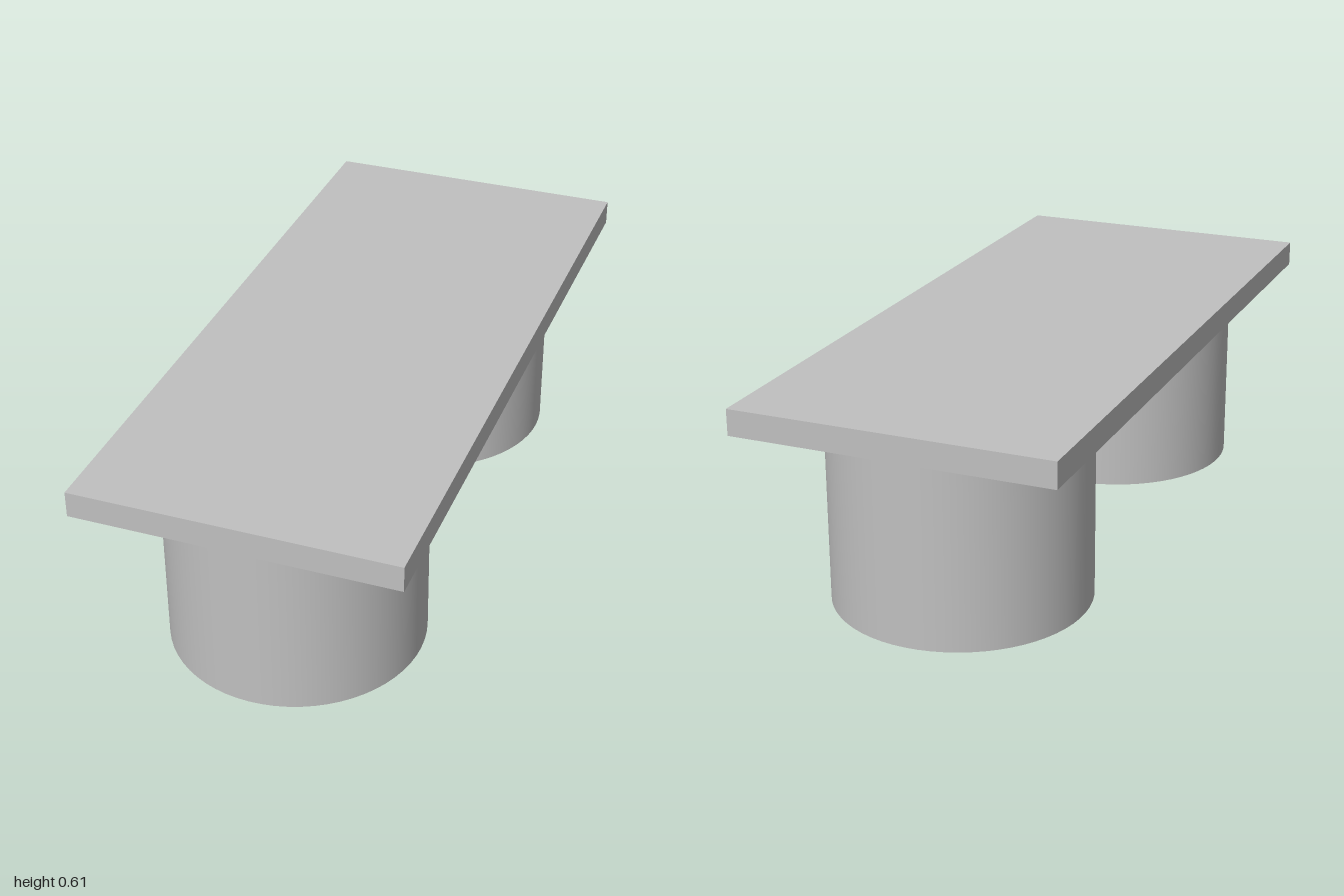
import * as THREE from 'three';

export function createModel() {
  const model = new THREE.Group();
  model.name = 'bench';

  const grey = new THREE.MeshStandardMaterial({ color: 0xc0c0c0 });
  grey.name = 'light grey';

  const legHeight = 0.535;
  const slabThickness = 0.072;

  // Flat rectangular slab
  const seat = new THREE.Mesh(new THREE.BoxGeometry(0.888, slabThickness, 2), grey);
  seat.name = 'seat';
  seat.position.y = legHeight + slabThickness / 2;
  model.add(seat);

  // Two round drum supports, front and back
  const drum = new THREE.CylinderGeometry(0.355, 0.355, legHeight, 64);
  for (const [name, side] of [['frontLeg', 1], ['backLeg', -1]]) {
    const leg = new THREE.Mesh(drum, grey);
    leg.name = name;
    leg.position.set(0, legHeight / 2, side * 0.581);
    model.add(leg);
  }

  return model;
}
